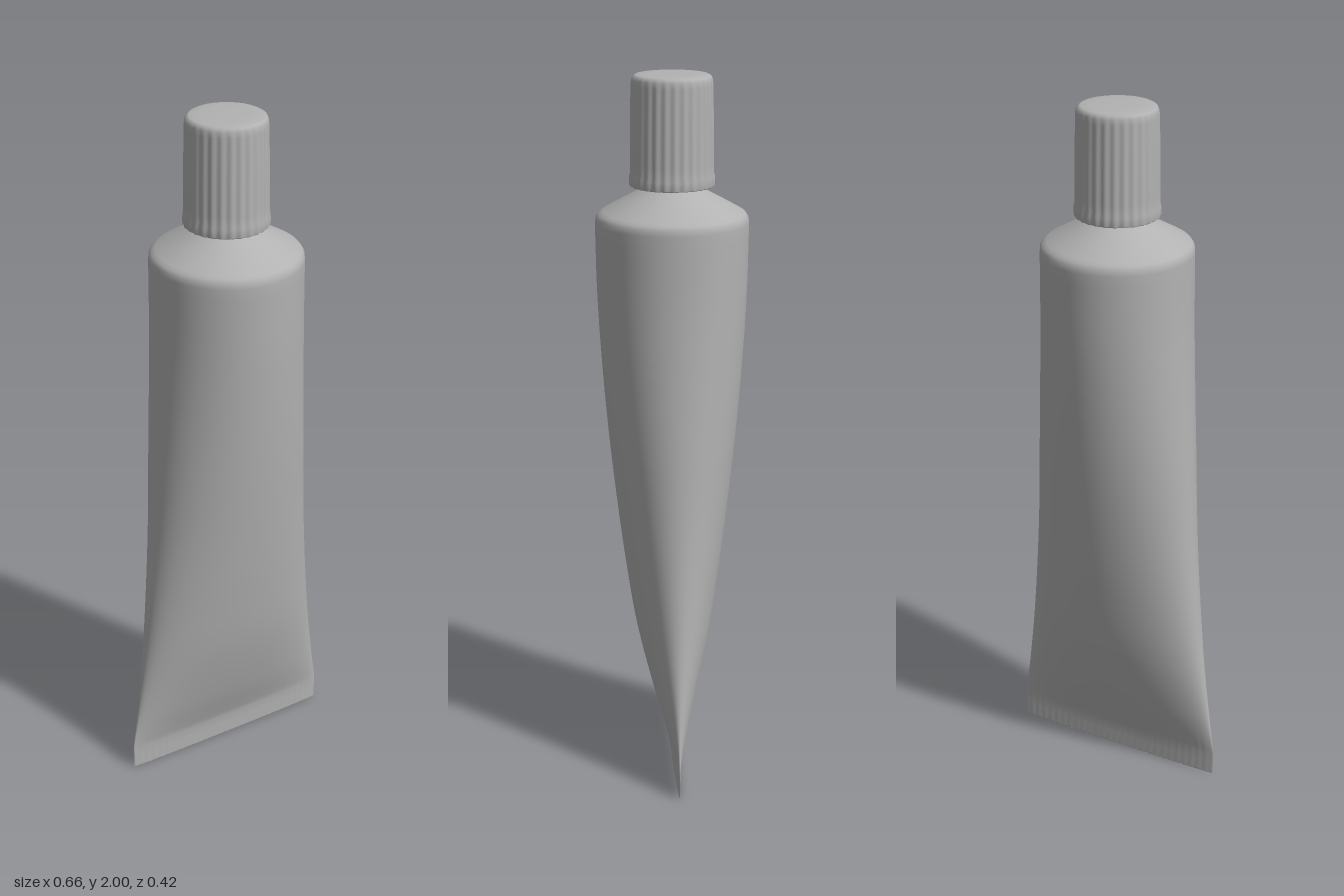
import * as THREE from 'three';

const grey = new THREE.MeshStandardMaterial({ color: 0xb2b2b2 });
grey.name = 'plain grey';

// Skin closed rings: rows are [y, halfWidth, halfDepth]; repeating a row makes a crease.
// ripple(angle, y) scales each point: returns [xScale, zScale].
function loft(name, rows, sides, ripple = () => [1, 1]) {
  const pos = [], index = [];
  rows.forEach(([y, a, b], r) => {
    for (let i = 0; i < sides; i++) {
      const t = (i / sides) * Math.PI * 2;
      const [sx, sz] = ripple(t, y);
      pos.push(a * Math.cos(t) * sx, y, b * Math.sin(t) * sz);
      if (r === rows.length - 1) continue;
      const p = r * sides + i, q = r * sides + ((i + 1) % sides);
      index.push(p, p + sides, q, q, p + sides, q + sides);
    }
  });
  const geo = new THREE.BufferGeometry();
  geo.setAttribute('position', new THREE.Float32BufferAttribute(pos, 3));
  geo.setIndex(index);
  geo.computeVertexNormals();
  const mesh = new THREE.Mesh(geo, grey);
  mesh.name = name;
  return mesh;
}

const round = (list) => list.map(([y, r]) => [y, r, r]);

export function createModel() {
  const group = new THREE.Group();
  group.name = 'squeezeTube';

  // Tube body: flat at the crimp, swelling to a full circle at the shoulder
  const stations = [
    [0.1, 0.327, 0.018], [0.2, 0.312, 0.051], [0.4, 0.285, 0.102], [0.6, 0.264, 0.134],
    [0.8, 0.247, 0.159], [1.0, 0.235, 0.18], [1.2, 0.223, 0.196], [1.4, 0.213, 0.207], [1.6, 0.209, 0.211],
  ];
  const curve = new THREE.CatmullRomCurve3(stations.map(([y, a, b]) => new THREE.Vector3(a, y, b)));
  const side = curve.getPoints(48).map((p) => [p.y, p.x, p.z]);
  const body = [
    [0, 0.001, 0.0001], [0, 0.328, 0.006], [0, 0.328, 0.006], [0.004, 0.33, 0.007],
    [0.04, 0.33, 0.007], [0.07, 0.33, 0.009], [0.085, 0.329, 0.013],
    ...side,
    // Rounded rim and sloping shoulder
    ...round([[1.615, 0.208], [1.625, 0.201], [1.632, 0.19], [1.66, 0.14], [1.69, 0.085], [1.7, 0.07]]),
  ];
  // Faint pressed ribs along the crimp
  const crimp = (t, y) => [1, 1 + 0.12 * Math.max(0, 1 - y / 0.13) * Math.cos(Math.cos(t) * 88)];
  group.add(loft('tubeBody', body, 192, crimp));

  // Neck between shoulder and cap
  group.add(loft('neck', round([[1.68, 0.07], [1.76, 0.07]]), 48));

  // Screw cap with fluted grip, collar at the foot and softly shaded top
  const cap = round([
    [1.7, 0.06], [1.7, 0.113], [1.7, 0.113], [1.703, 0.116], [1.725, 0.116], [1.735, 0.113],
    [1.76, 0.113], [1.85, 0.112], [1.97, 0.11], [1.985, 0.109], [1.994, 0.105], [1.998, 0.097],
    [1.9995, 0.07], [2, 0.035], [2, 0.0005],
  ]);
  const flutes = (t, y) => {
    const s = 1 + 0.012 * Math.cos(t * 28) * THREE.MathUtils.clamp((1.995 - y) / 0.03, 0, 1);
    return [s, s];
  };
  group.add(loft('cap', cap, 224, flutes));

  return group;
}
